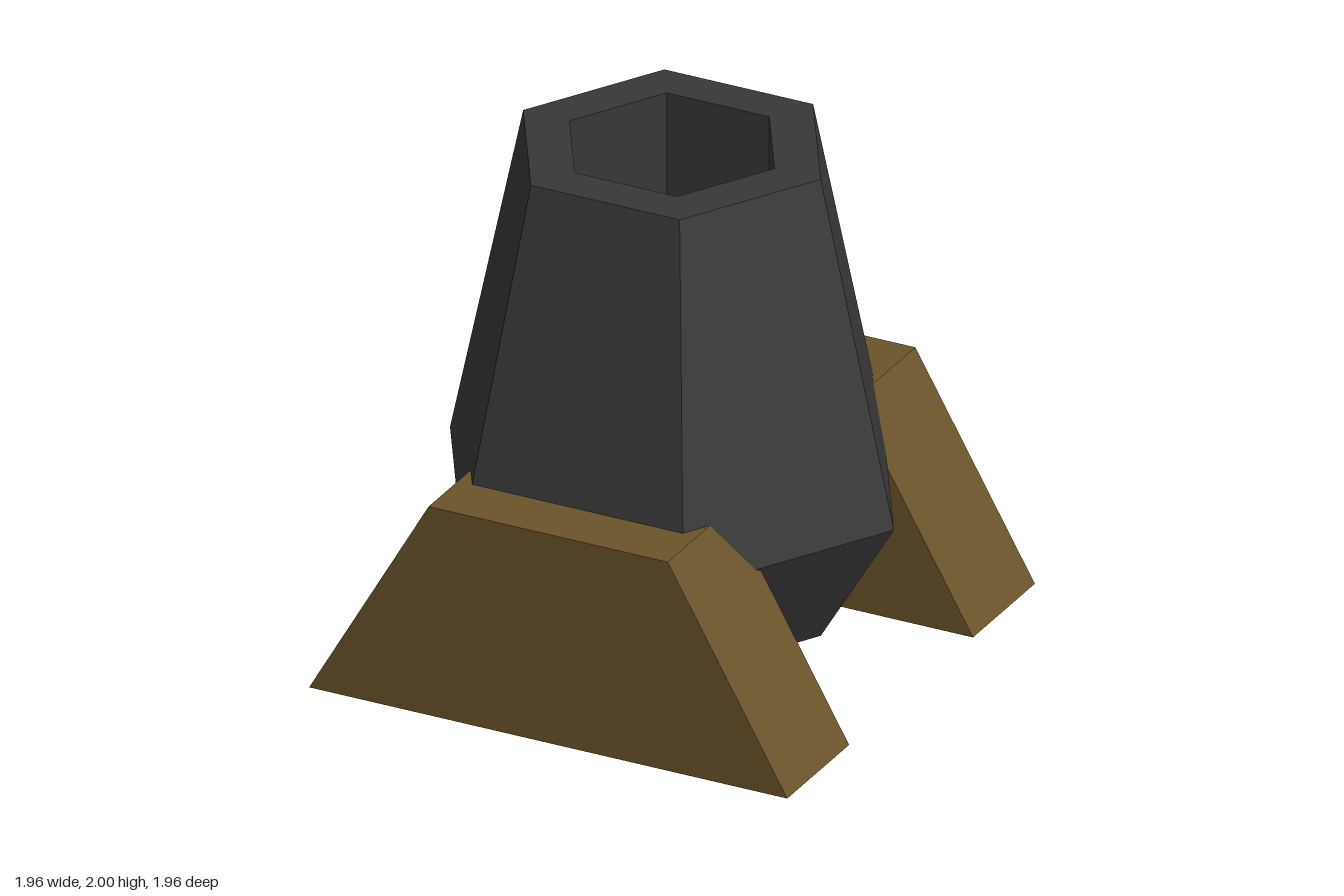
import * as THREE from 'three';

const iron = new THREE.MeshStandardMaterial({ color: 0x383838, flatShading: true });
const wood = new THREE.MeshStandardMaterial({ color: 0x6b542b, flatShading: true });

export function createModel() {
  const model = new THREE.Group();
  model.name = 'mortar';

  // Hexagonal barrel: closed base, flared belly, tapered body, rim and bore
  const profile = [
    [0, 0.14], [0.61, 0.14], [0.91, 0.64], [0.61, 2], [0.42, 2], [0.42, 0.64], [0, 0.64],
  ].map(([r, y]) => new THREE.Vector2(r, y));
  const barrel = new THREE.Mesh(new THREE.LatheGeometry(profile, 6, Math.PI / 2), iron);
  barrel.name = 'barrel';
  model.add(barrel);

  // Trapezoid blocks supporting the barrel at front and back
  const outline = new THREE.Shape(
    [[-0.98, 0], [0.98, 0], [0.49, 0.85], [-0.49, 0.85]].map(([x, y]) => new THREE.Vector2(x, y))
  );
  const blockGeometry = new THREE.ExtrudeGeometry(outline, { depth: 0.49, bevelEnabled: false });
  for (const [name, z] of [['frontSupport', 0.49], ['backSupport', -0.98]]) {
    const block = new THREE.Mesh(blockGeometry, wood);
    block.name = name;
    block.position.z = z;
    model.add(block);
  }

  return model;
}
